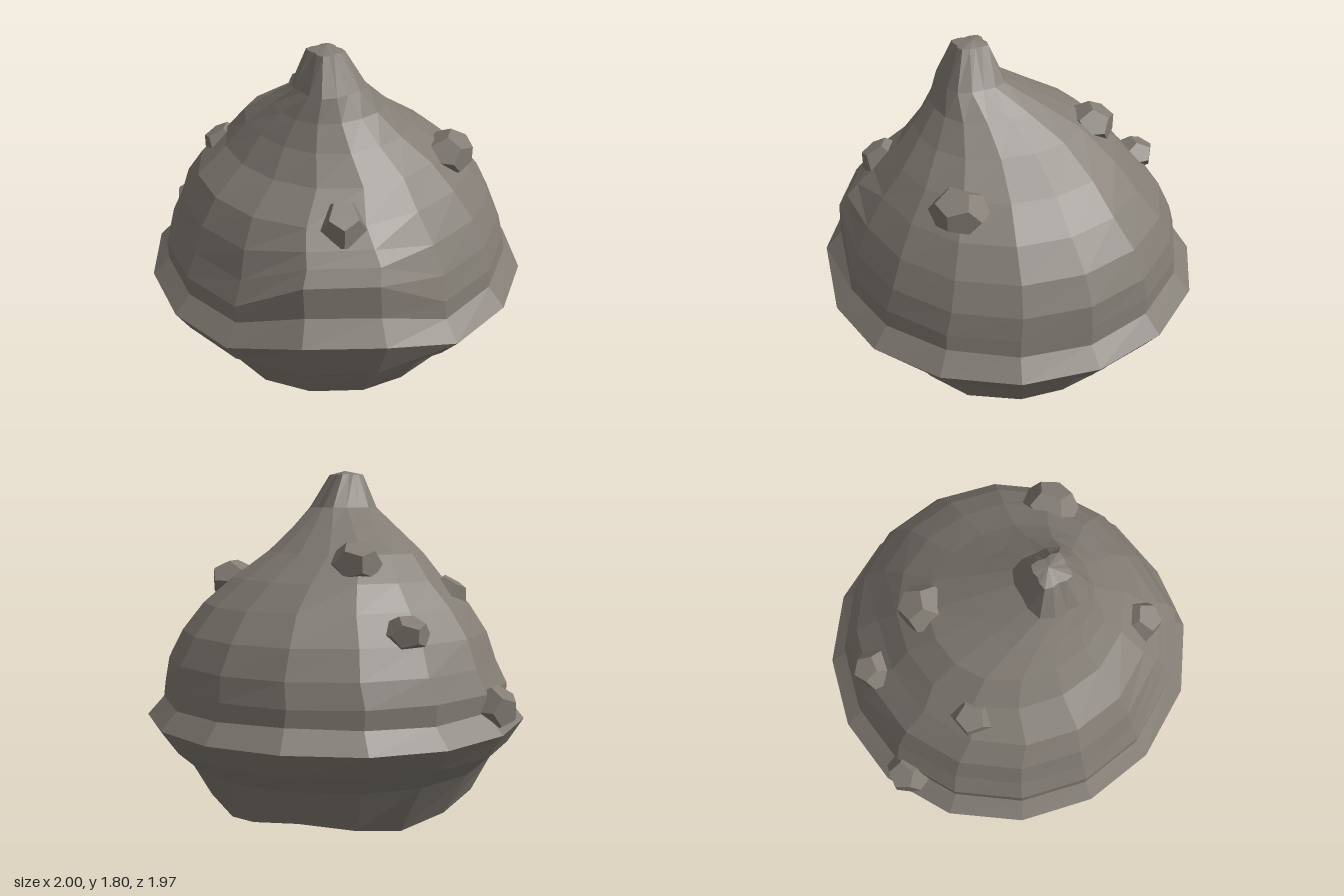
import * as THREE from 'three';

const stone = new THREE.MeshStandardMaterial({ color: 0x827c74, flatShading: true });
stone.name = 'warm grey stone';

const SIDES = 16;

// Horizontal rings from the base to the tip:
// [y, x min, x max, z min, z max, diagonal bulge, diagonal rise, rise of the front left ledge]
const RINGS = [
  [0.00, 0, 0, 0, 0, 0, 0, 0],
  [0.00, -0.33, 0.31, -0.33, 0.31, 0, 0.03, 0],
  [0.04, -0.63, 0.60, -0.62, 0.62, 0.18, 0.10, 0],
  [0.30, -0.79, 0.77, -0.78, 0.79, 0.05, 0.02, 0],
  [0.41, -0.91, 0.90, -0.90, 0.91, 0.01, 0, 0],
  [0.53, -1.00, 1.00, -0.985, 0.985, 0.01, 0.01, 0.10],
  [0.62, -0.90, 0.91, -0.90, 0.90, 0.01, 0.02, 0.11],
  [0.72, -0.90, 0.90, -0.89, 0.90, 0.01, 0, 0.19],
  [0.84, -0.86, 0.86, -0.875, 0.85, 0, 0, 0.14],
  [0.98, -0.79, 0.79, -0.80, 0.80, 0.01, 0, 0.06],
  [1.12, -0.66, 0.69, -0.68, 0.72, 0.02, 0, 0],
  [1.25, -0.56, 0.58, -0.52, 0.56, 0.02, 0, 0],
  [1.38, -0.42, 0.46, -0.32, 0.46, 0.03, 0, 0],
  [1.50, -0.20, 0.36, -0.16, 0.375, 0.08, 0, 0],
  [1.61, 0.00, 0.30, -0.02, 0.30, 0.20, 0, 0],
  [1.785, 0.07, 0.21, 0.09, 0.22, 0.40, 0, 0],
  [1.805, 0.13, 0.13, 0.14, 0.14, 0, 0, 0],
];

// Skin the rings with faceted quads
function moundGeometry() {
  const points = [], index = [];
  for (const [y, x0, x1, z0, z1, bulge, rise, ledge] of RINGS) {
    for (let i = 0; i < SIDES; i++) {
      const a = (i / SIDES) * Math.PI * 2;
      const diagonal = Math.sin(2 * a) ** 2;
      const k = 1 + bulge * diagonal;
      const onLedge = i === 1 || i === 2 ? 1 : 0;
      points.push(
        (x0 + x1) / 2 + ((x1 - x0) / 2) * k * Math.cos(a),
        y + rise * diagonal + ledge * onLedge,
        (z0 + z1) / 2 + ((z1 - z0) / 2) * k * Math.sin(a),
      );
    }
  }
  for (let j = 0; j < RINGS.length - 1; j++) {
    for (let i = 0; i < SIDES; i++) {
      const a = j * SIDES + i, d = j * SIDES + ((i + 1) % SIDES);
      const b = a + SIDES, c = d + SIDES;
      index.push(a, b, d, b, c, d);
    }
  }
  const g = new THREE.BufferGeometry();
  g.setAttribute('position', new THREE.Float32BufferAttribute(points, 3));
  g.setIndex(index);
  const flat = g.toNonIndexed();
  flat.computeVertexNormals();
  return flat;
}

// Small lumps half sunk in the surface: [x, y, z, half width, half height, half depth]
const LUMPS = [
  [-0.40, 1.34, -0.12, 0.13, 0.11, 0.13],
  [0.45, 1.22, -0.38, 0.15, 0.11, 0.13],
  [-0.40, 1.16, 0.42, 0.12, 0.11, 0.12],
  [0.56, 1.10, 0.36, 0.12, 0.13, 0.13],
  [-0.73, 1.03, -0.05, 0.11, 0.09, 0.12],
  [-0.81, 0.64, 0.42, 0.12, 0.12, 0.12],
];

export function createModel() {
  const model = new THREE.Group();
  model.name = 'rockMound';

  const mound = new THREE.Mesh(moundGeometry(), stone);
  mound.name = 'mound';
  model.add(mound);

  // Lumps turned to face outward from the middle
  const lumps = new THREE.Group();
  lumps.name = 'lumps';
  const rock = new THREE.DodecahedronGeometry(1, 0);
  LUMPS.forEach(([x, y, z, w, h, d], i) => {
    const lump = new THREE.Mesh(rock, stone);
    lump.name = `lump${i + 1}`;
    lump.position.set(x, y, z);
    lump.scale.set(w, h, d);
    lump.rotation.y = Math.atan2(x, z);
    lumps.add(lump);
  });
  model.add(lumps);
  return model;
}
